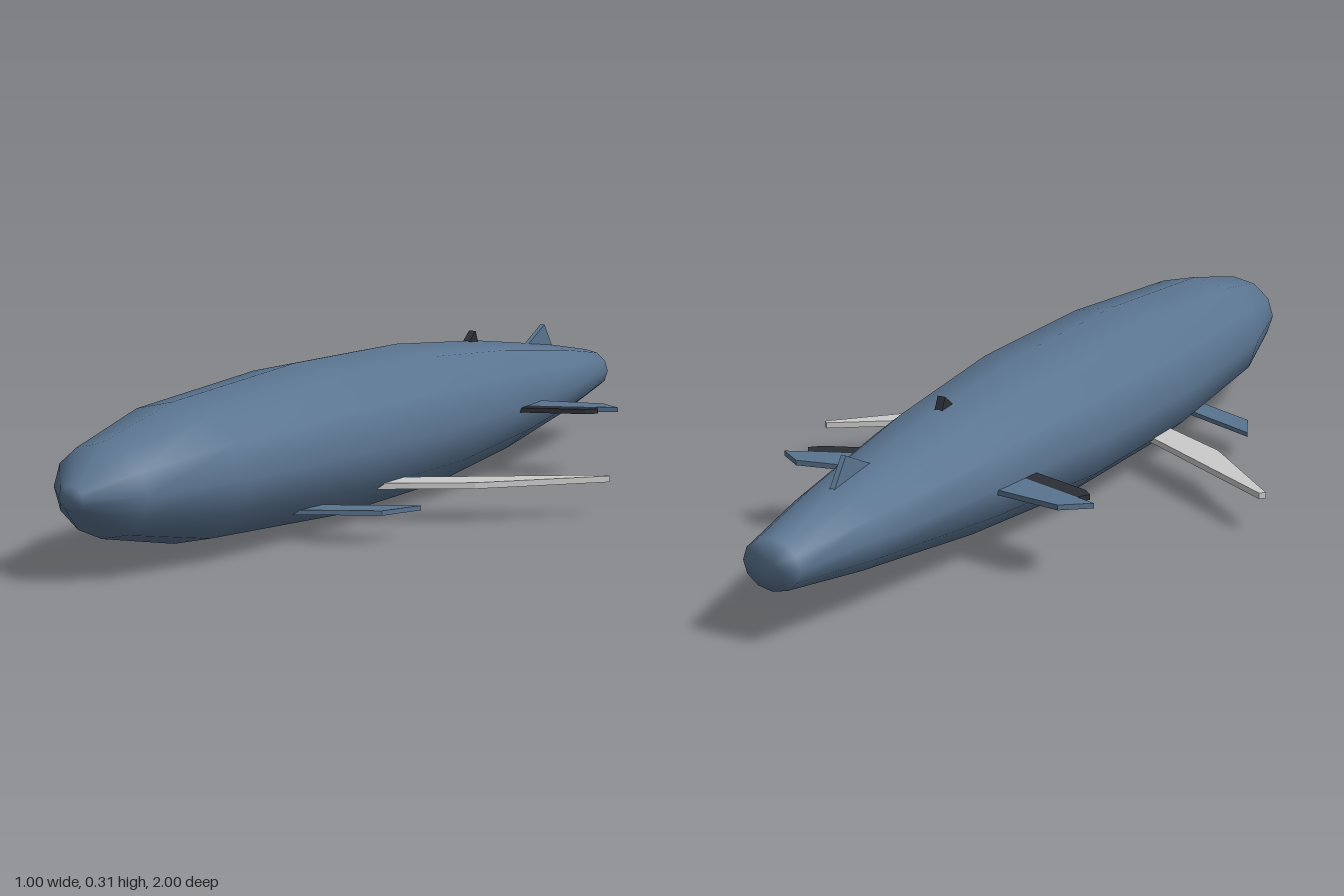
import * as THREE from 'three';

const blue = new THREE.MeshStandardMaterial({ color: 0x5a7490 });
const dark = new THREE.MeshStandardMaterial({ color: 0x2b2f36 });
const grey = new THREE.MeshStandardMaterial({ color: 0xcccccc });

const outline = (pts) => new THREE.Shape(pts.map(([a, b]) => new THREE.Vector2(a, b)));
const extrude = (pts, depth) =>
  new THREE.ExtrudeGeometry(outline(pts), { depth, bevelEnabled: false });

export function createModel() {
  const model = new THREE.Group();
  const add = (name, geometry, material) => {
    const mesh = new THREE.Mesh(geometry, material);
    mesh.name = name;
    model.add(mesh);
  };

  // Hull: twelve-sided, slightly flattened, running from tail to nose
  const profile = [
    [0, -1], [0.058, -1], [0.097, -0.8], [0.15, -0.45], [0.184, -0.1],
    [0.187, 0.29], [0.156, 0.7], [0.101, 0.915], [0.026, 1], [0, 1],
  ].map(([r, z]) => new THREE.Vector2(r, z));
  const hull = new THREE.LatheGeometry(profile, 12);
  hull.rotateX(Math.PI / 2).scale(1, 0.82, 1).translate(0, 0.154, 0);
  add('hull', hull, blue);

  // Flat plate given as (x, z) corners, built on both sides
  const platePair = (name, pts, y, thickness, material) => {
    for (const side of [1, -1]) {
      const g = extrude(pts.map(([x, z]) => [x * side, z]), thickness);
      g.rotateX(Math.PI / 2).translate(0, y + thickness / 2, 0);
      add((side > 0 ? 'left' : 'right') + name, g, material);
    }
  };
  platePair('Wing',
    [[0.14, 0.245], [0.31, 0.14], [0.5, -0.06], [0.49, -0.07], [0.14, 0.165]],
    0.074, 0.012, grey);
  platePair('ForeFin',
    [[0.11, 0.485], [0.26, 0.408], [0.295, 0.325], [0.11, 0.42]],
    0.059, 0.009, blue);
  platePair('TailFin',
    [[0.11, -0.375], [0.333, -0.46], [0.28, -0.5], [0.11, -0.47]],
    0.148, 0.01, blue);
  platePair('TailFinLeadingPlate',
    [[0.11, -0.335], [0.285, -0.4], [0.305, -0.42], [0.29, -0.444], [0.11, -0.375]],
    0.148, 0.01, dark);

  // Upright fins on the spine, given as (z, y) corners
  const spineFin = (name, pts, thickness, material) => {
    const g = extrude(pts, thickness);
    g.rotateY(-Math.PI / 2).translate(thickness / 2, 0, 0);
    add(name, g, material);
  };
  spineFin('spineBlade', [[-0.4, 0.26], [-0.4, 0.277], [-0.43, 0.3], [-0.445, 0.27], [-0.445, 0.25]], 0.016, dark);
  spineFin('rearSpineFin', [[-0.69, 0.22], [-0.69, 0.245], [-0.77, 0.282], [-0.81, 0.23], [-0.81, 0.2]], 0.01, blue);

  return model;
}
